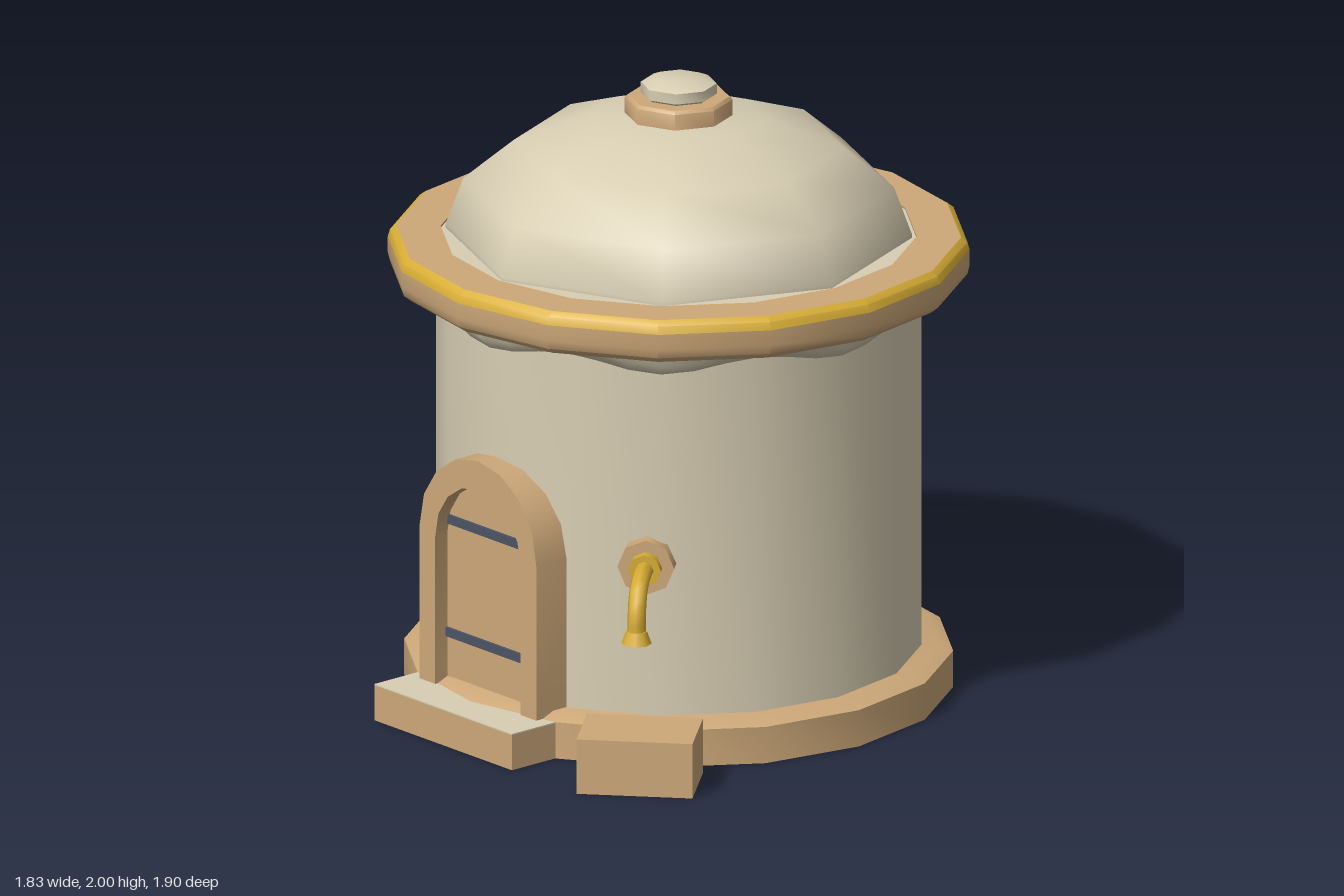
import * as THREE from 'three';
import { toCreasedNormals } from 'three/addons/utils/BufferGeometryUtils.js';

const material = (name, color, side = THREE.FrontSide) => {
  const m = new THREE.MeshStandardMaterial({ color, side });
  m.name = name;
  return m;
};

export function createModel() {
  const cream = material('cream plaster', 0xd8ceb3, THREE.DoubleSide);
  const tan = material('tan wood', 0xcda879);
  const gold = material('gold', 0xd9ae35);
  const slate = material('slate iron', 0x4c5464);

  const model = new THREE.Group();
  model.name = 'domedTower';
  const tower = new THREE.Group();
  tower.name = 'tower';
  tower.position.z = -0.035;
  model.add(tower);

  const add = (parent, name, geometry, mat, x = 0, y = 0, z = 0) => {
    const mesh = new THREE.Mesh(geometry, mat);
    mesh.name = name;
    mesh.position.set(x, y, z);
    parent.add(mesh);
    return mesh;
  };
  // Turned solid from a bottom-to-top profile, sharp at strong profile corners
  const turned = (points, sides, crease = 0.7) => toCreasedNormals(
    new THREE.LatheGeometry(points.map(p => new THREE.Vector2(...p)), sides), crease);

  // Plinth, wall and the ledge under the dome
  add(tower, 'plinth', turned([[0, 0], [0.865, 0], [0.865, 0.12], [0.82, 0.138], [0, 0.14]], 16), tan);
  add(tower, 'wall', turned([[0.765, 0.13], [0.765, 1.4], [0.752, 1.4], [0.752, 1.483], [0, 1.483]], 16), cream);

  // Scalloped skirt hanging below the rim
  const skirt = new THREE.LatheGeometry(
    [[0.755, 1.33], [0.785, 1.297], [0.812, 1.33], [0.83, 1.37]].map(p => new THREE.Vector2(...p)), 48);
  const pos = skirt.attributes.position;
  for (let i = 0; i < pos.count; i++) {
    const a = Math.atan2(pos.getX(i), pos.getZ(i));
    if (pos.getY(i) < 1.35) pos.setY(i, pos.getY(i) - 0.022 * Math.cos(8 * a));
  }
  skirt.computeVertexNormals();
  add(tower, 'skirt', skirt, cream);

  // Rim with a gilded upper edge
  add(tower, 'rim', turned([[0.75, 1.49], [0.75, 1.35], [0.885, 1.35], [0.91, 1.37], [0.917, 1.4], [0.917, 1.45]], 16), tan);
  add(tower, 'rimGilding', turned([[0.917, 1.45], [0.91, 1.475], [0.89, 1.49]], 16), gold);
  add(tower, 'rimTop', turned([[0.89, 1.49], [0.75, 1.49]], 16), tan);

  // Eight-sided smooth dome and finial
  const domeProfile = [[0.735, 1.485]];
  for (let i = 0; i <= 4; i++) {
    const a = i * Math.PI / 8;
    domeProfile.push([Math.max(0, 0.735 * Math.cos(a)), 1.497 + 0.4 * Math.sin(a)]);
  }
  add(tower, 'dome', turned(domeProfile, 8, 1.2), cream);
  add(tower, 'finialBase', turned([[0.17, 1.87], [0.17, 1.93], [0.16, 1.94], [0, 1.94]], 8, 0.8), tan);
  add(tower, 'finialCap', turned([[0.105, 1.938], [0.12, 1.948], [0.12, 1.982], [0.085, 1.997], [0, 2]], 8, 0.8), cream);

  // Arched door with frame, straps and step
  const arch = (halfWidth, bottom, spring) => {
    const s = new THREE.Shape();
    s.moveTo(-halfWidth, bottom);
    s.lineTo(halfWidth, bottom);
    s.lineTo(halfWidth, spring);
    s.absarc(0, spring, halfWidth, 0, Math.PI, false);
    s.closePath();
    return s;
  };
  const extrude = (shape, depth) => toCreasedNormals(
    new THREE.ExtrudeGeometry(shape, { depth, bevelEnabled: false, curveSegments: 4 }), 0.6);
  const door = new THREE.Group();
  door.name = 'door';
  model.add(door);
  const frame = new THREE.Shape();
  frame.moveTo(0.28, 0.12);
  frame.lineTo(0.28, 0.63);
  frame.absarc(0, 0.63, 0.28, 0, Math.PI, false);
  frame.lineTo(-0.28, 0.12);
  frame.lineTo(-0.205, 0.12);
  frame.lineTo(-0.205, 0.61);
  frame.absarc(0, 0.61, 0.205, Math.PI, 0, true);
  frame.lineTo(0.205, 0.12);
  frame.closePath();
  add(door, 'doorFrame', extrude(frame, 0.2), tan, 0, 0, 0.6);
  add(door, 'doorPanel', extrude(arch(0.207, 0.12, 0.61), 0.15), tan, 0, 0, 0.6);
  for (const y of [0.285, 0.66])
    add(door, 'doorStrap', new THREE.BoxGeometry(0.405, 0.03, 0.009), slate, 0, y, 0.754);
  add(model, 'doorStep', new THREE.BoxGeometry(0.66, 0.116, 0.345), tan, 0, 0.058, 0.7725);
  add(model, 'stepTop', new THREE.BoxGeometry(0.66, 0.004, 0.345), cream, 0, 0.118, 0.7725);

  // Tap on the wall, built along its own +z, with a block beneath
  const angle = 0.728;
  const tap = new THREE.Group();
  tap.name = 'tap';
  tap.rotation.y = angle;
  tower.add(tap);
  const disc = (r, depth, sides) => new THREE.CylinderGeometry(r, r, depth, sides).rotateX(Math.PI / 2);
  add(tap, 'tapFlange', disc(0.09, 0.06, 8), tan, 0, 0.64, 0.775);
  add(tap, 'tapCollar', disc(0.052, 0.035, 8), gold, 0, 0.64, 0.82);
  const path = new THREE.CatmullRomCurve3(
    [[0.64, 0.8], [0.64, 0.93], [0.615, 0.995], [0.56, 1.025], [0.49, 1.03]]
      .map(([y, z]) => new THREE.Vector3(0, y, z)));
  add(tap, 'tapPipe', new THREE.TubeGeometry(path, 10, 0.029, 8), gold);
  add(tap, 'tapNozzle', new THREE.CylinderGeometry(0.033, 0.048, 0.04, 8), gold, 0, 0.485, 1.03);
  const block = add(model, 'tapBlock', new THREE.BoxGeometry(0.368, 0.18, 0.262), tan, 0.69, 0.09, 0.725);
  block.rotation.y = angle;

  return model;
}
